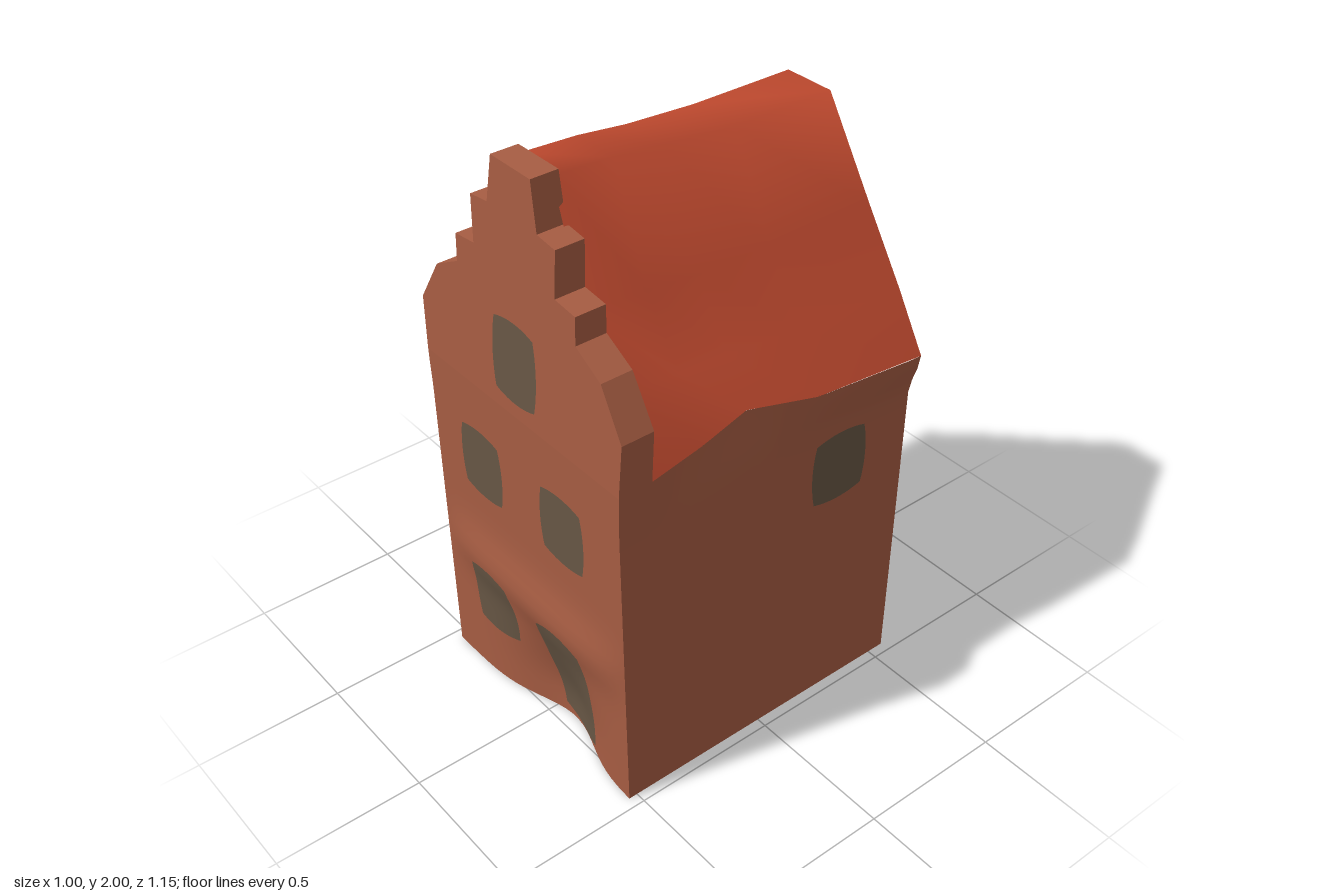
import * as THREE from 'three';
import { toCreasedNormals } from 'three/addons/utils/BufferGeometryUtils.js';

const mat = (name, color) => Object.assign(new THREE.MeshStandardMaterial({ color }), { name });
const { lerp, smoothstep } = THREE.MathUtils;
const bump = (d, w) => Math.exp(-((d / w) ** 2));

// Roof cross-sections from left-hand eave over the flat ridge to the other eave
const SECTIONS = [
  { z: 0.45, p: [[-0.47, 1.2], [-0.47, 1.36], [-0.27, 1.58], [-0.08, 1.98], [0.08, 1.98], [0.2, 1.62], [0.37, 1.45], [0.47, 1.2]] },
  { z: 0.25, p: [[-0.465, 1.22], [-0.42, 1.35], [-0.27, 1.58], [-0.08, 1.97], [0.08, 1.97], [0.22, 1.62], [0.36, 1.42], [0.46, 1.23]] },
  { z: 0.08, p: [[-0.46, 1.23], [-0.39, 1.39], [-0.26, 1.61], [-0.08, 1.95], [0.08, 1.95], [0.23, 1.61], [0.36, 1.41], [0.45, 1.27]] },
  { z: -0.17, p: [[-0.48, 1.21], [-0.39, 1.41], [-0.26, 1.63], [-0.09, 1.93], [0.09, 1.93], [0.25, 1.62], [0.38, 1.4], [0.48, 1.22]] },
  { z: -0.55, p: [[-0.5, 1.2], [-0.4, 1.4], [-0.26, 1.63], [-0.09, 1.93], [0.09, 1.93], [0.26, 1.63], [0.4, 1.39], [0.5, 1.2]] },
];

// Point on the eave at depth z, for side s (+1 or -1)
function eave(s, z) {
  const k = s > 0 ? 7 : 0;
  if (z >= SECTIONS[0].z) return SECTIONS[0].p[k];
  for (let i = 1; i < SECTIONS.length; i++) {
    const a = SECTIONS[i - 1], b = SECTIONS[i];
    if (z >= b.z) {
      const t = (a.z - z) / (a.z - b.z);
      return [lerp(a.p[k][0], b.p[k][0], t), lerp(a.p[k][1], b.p[k][1], t)];
    }
  }
  return SECTIONS[4].p[k];
}

// Wall surfaces: the front has a lintel ledge and a hollow around the door
function frontZ(x, y) {
  if (y >= 1.2) return 0.55 - (y - 1.2) * 0.03;
  const edge = 1 - Math.min(1, Math.abs(x) / 0.465) ** 4;
  const ledge = 0.025 * bump(y - 0.5, 0.09) * edge;
  const hollow = 0.08 * bump(x - 0.08, 0.2) * (1 - smoothstep(y, 0.08, 0.46)) * edge;
  return 0.53 + 0.02 * y / 1.2 + ledge - hollow;
}
function backZ(x, y) {
  if (y >= 1.2) return -0.575 + (y - 1.2) * 0.055;
  const edge = 1 - Math.min(1, Math.abs(x) / 0.465) ** 4;
  return -0.56 - 0.015 * y / 1.2 + 0.05 * bump(x - 0.08, 0.2) * (1 - smoothstep(y, 0.03, 0.3)) * edge;
}
const sideX = (s, v, z) => lerp(s * 0.465, eave(s, z)[0], smoothstep(v, 0.87, 1));

export function createModel() {
  const house = new THREE.Group();
  house.name = 'house';
  const brick = mat('brick', 0xa75d43);
  const tile = mat('roof tile', 0xc84d31);
  const glass = mat('dark glass', 0x685745);

  const add = (name, geometry, material) => {
    const mesh = new THREE.Mesh(geometry, material);
    mesh.name = name;
    house.add(mesh);
  };
  // Smooth sheet whose points follow fn(u, v); u runs right and v up seen from outside
  const sheet = (name, material, nu, nv, fn) => {
    const g = new THREE.PlaneGeometry(1, 1, nu, nv);
    const p = g.attributes.position;
    for (let i = 0; i < p.count; i++) p.setXYZ(i, ...fn(p.getX(i) + 0.5, p.getY(i) + 0.5));
    g.computeVertexNormals();
    add(name, g, material);
  };

  // Walls and base
  sheet('frontWall', brick, 28, 28, (u, v) => {
    const x = lerp(sideX(-1, v, 0.5), sideX(1, v, 0.5), u);
    return [x, v * 1.2, frontZ(x, v * 1.2)];
  });
  sheet('backWall', brick, 24, 24, (u, v) => {
    const x = lerp(sideX(1, v, -0.55), sideX(-1, v, -0.55), u);
    return [x, v * 1.2, backZ(x, v * 1.2)];
  });
  for (const s of [1, -1]) {
    sheet(s > 0 ? 'leftWall' : 'rightWall', brick, 24, 24, (u, v) => {
      const t = s > 0 ? u : 1 - u;
      const y0 = v * 1.2;
      const z = lerp(frontZ(0.465, y0), backZ(0.465, y0), t);
      return [sideX(s, v, z), v * eave(s, z)[1], z];
    });
  }
  sheet('base', brick, 28, 2, (u, v) => {
    const x = lerp(-0.465, 0.465, u);
    return [x, 0, lerp(backZ(x, 0), frontZ(x, 0), v)];
  });

  // Stepped front gable
  const half = [[0.47, 1.2], [0.48, 1.38], [0.39, 1.53], [0.28, 1.59], [0.28, 1.68], [0.19, 1.69],
    [0.195, 1.84], [0.115, 1.85], [0.09, 2]];
  const outline = [...half, ...half.map(([x, y]) => [-x, y]).reverse()];
  const gable = new THREE.ExtrudeGeometry(new THREE.Shape(outline.map(([x, y]) => new THREE.Vector2(x, y))),
    { depth: 0.1, bevelEnabled: false });
  const gp = gable.attributes.position;
  for (let i = 0; i < gp.count; i++) gp.setZ(i, gp.getZ(i) > 0.05 ? frontZ(gp.getX(i), gp.getY(i)) : 0.435);
  add('steppedGable', toCreasedNormals(gable, 0.5), brick);

  // Roof skin lofted through the sections
  sheet('roof', tile, 7, 4, (u, v) => {
    const k = Math.round(v * 4);
    const [x, y] = SECTIONS[k].p[Math.round(u * 7)];
    return [x, y, k === 4 ? backZ(x, y) : SECTIONS[k].z];
  });

  // Back gable: brick in the middle, tile-coloured verge around it
  const outer = SECTIONS[4].p.slice().reverse();
  const inner = [[0.5, 1.2], [0.36, 1.33], [0.22, 1.52], [0.07, 1.69], [-0.07, 1.69], [-0.22, 1.52], [-0.36, 1.33], [-0.5, 1.2]];
  sheet('backGable', brick, 7, 4, (u, v) => {
    const [x, top] = inner[Math.round(u * 7)];
    const y = lerp(1.2, top, v);
    return [x, y, backZ(x, y)];
  });
  sheet('backVerge', tile, 7, 1, (u, v) => {
    const [x, y] = (v > 0.5 ? outer : inner)[Math.round(u * 7)];
    return [x, y, backZ(x, y)];
  });

  // Rounded panes laid just above the wall; place(a, b) maps right and up to the wall
  const pane = (name, cx, cy, w, h, place) => sheet(name, glass, 10, 10, (u, v) => {
    const a = u * 2 - 1, b = v * 2 - 1;
    return place(cx + a * Math.sqrt(1 - 0.22 * b * b) * w / 2, cy + b * Math.sqrt(1 - 0.22 * a * a) * h / 2);
  });
  const onFront = (x, y) => [x, y, frontZ(x, y) + 0.007];
  const onBack = (a, y) => [-a, y, backZ(-a, y) - 0.007];
  pane('door', 0.155, 0.255, 0.24, 0.46, onFront);
  for (const [x, y, h] of [[-0.205, 0.355, 0.27], [-0.21, 0.91, 0.25], [0.195, 0.91, 0.25], [0, 1.39, 0.27]]) {
    pane('frontWindow', x, y, 0.21, h, onFront);
  }
  for (const [x, y] of [[-0.2, 0.37], [-0.22, 0.92], [0.22, 0.92], [0, 1.41]]) {
    pane('backWindow', -x, y, 0.21, 0.25, onBack);
  }
  for (const s of [1, -1]) {
    pane('sideWindow', s * 0.285, 0.91, 0.22, 0.25,
      (a, y) => [sideX(s, y / 1.2, -s * a) + s * 0.007, y, -s * a]);
  }
  return house;
}
